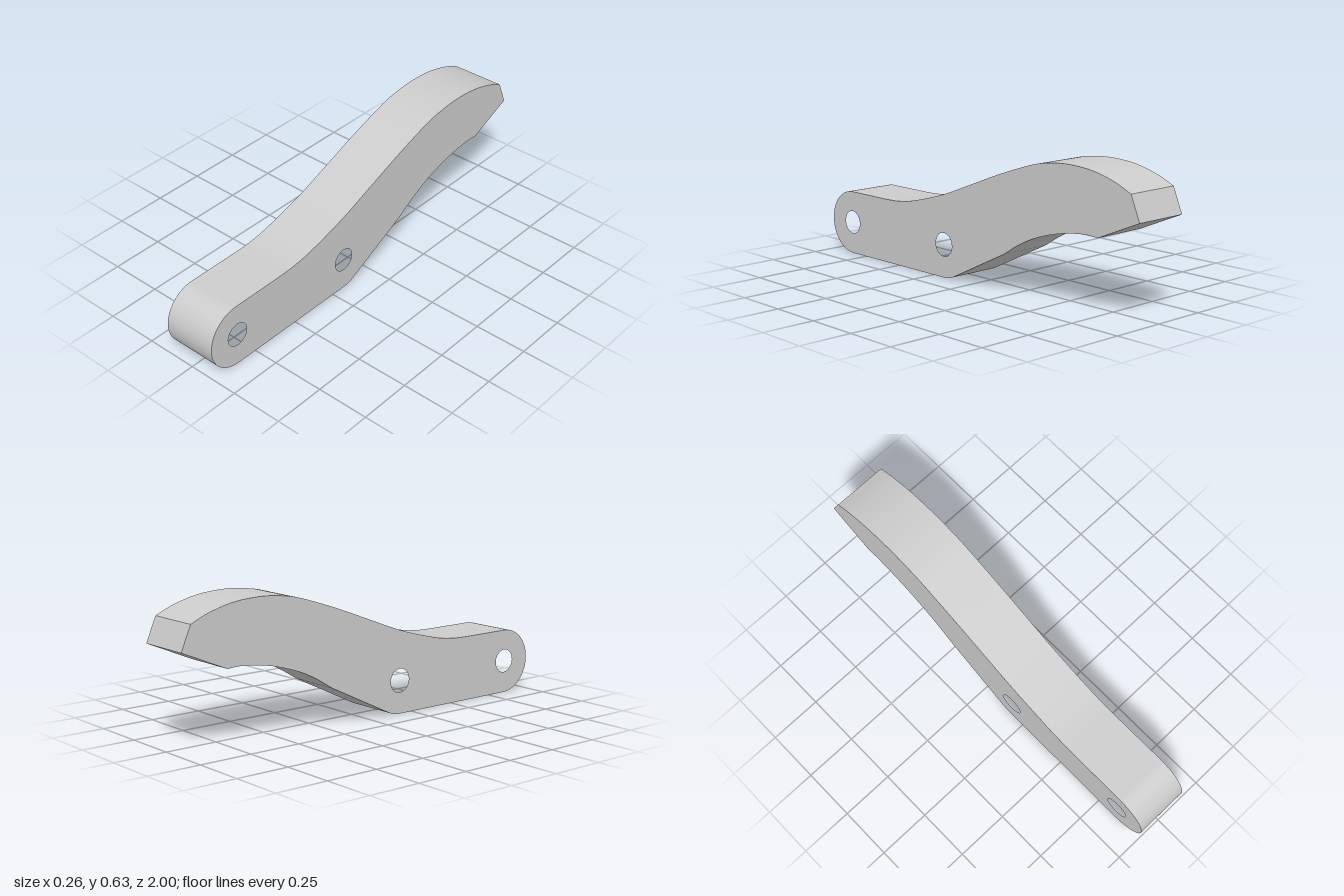
import * as THREE from 'three';
import { toCreasedNormals } from 'three/addons/utils/BufferGeometryUtils.js';

const WIDTH = 0.26;
const R = 0.153; // radius of the rounded nose and of the heel fillet
const HOLE_R = 0.055;
const PIVOTS = [0.85, 0.177]; // hole centres along the length

const points = (list) => list.map(([z, y]) => new THREE.Vector2(z, y));

export function createModel() {
  // side profile, drawn with the length along the shape's x
  const profile = new THREE.Shape();
  profile.moveTo(-0.952, 0.55);
  // crowned top flowing down to the flat front
  profile.splineThru(points([
    [-0.86, 0.588], [-0.74, 0.617], [-0.61, 0.626], [-0.5, 0.618], [-0.396, 0.598],
    [-0.2, 0.533], [0, 0.456], [0.19, 0.384], [0.395, 0.327], [0.5, 0.31], [0.59, 0.306],
  ]));
  profile.lineTo(PIVOTS[0], 2 * R);
  // rounded nose, flat base and heel fillet
  profile.absarc(PIVOTS[0], R, R, Math.PI / 2, -Math.PI / 2, true);
  profile.lineTo(PIVOTS[1], 0);
  profile.absarc(PIVOTS[1], R, R, -Math.PI / 2, -Math.PI / 2 - 0.456, true);
  profile.lineTo(-0.22, 0.178);
  // hollow under the arm, then the bevelled tip
  profile.splineThru(points([
    [-0.315, 0.236], [-0.42, 0.284], [-0.555, 0.324], [-0.69, 0.344], [-0.775, 0.342],
  ]));
  profile.lineTo(-1, 0.438);
  profile.closePath();

  // pivot holes
  for (const z of PIVOTS) {
    profile.holes.push(new THREE.Path().absarc(z, 0.155, HOLE_R, 0, Math.PI * 2, true));
  }

  const extruded = new THREE.ExtrudeGeometry(profile, {
    depth: WIDTH, bevelEnabled: false, curveSegments: 64,
  });
  extruded.translate(0, 0, -WIDTH / 2).rotateY(-Math.PI / 2);

  const lever = new THREE.Mesh(
    toCreasedNormals(extruded, 0.12),
    new THREE.MeshStandardMaterial({ color: 0xcccccc }),
  );
  lever.name = 'leverArm';

  const group = new THREE.Group();
  group.name = 'lever';
  group.add(lever);
  return group;
}
